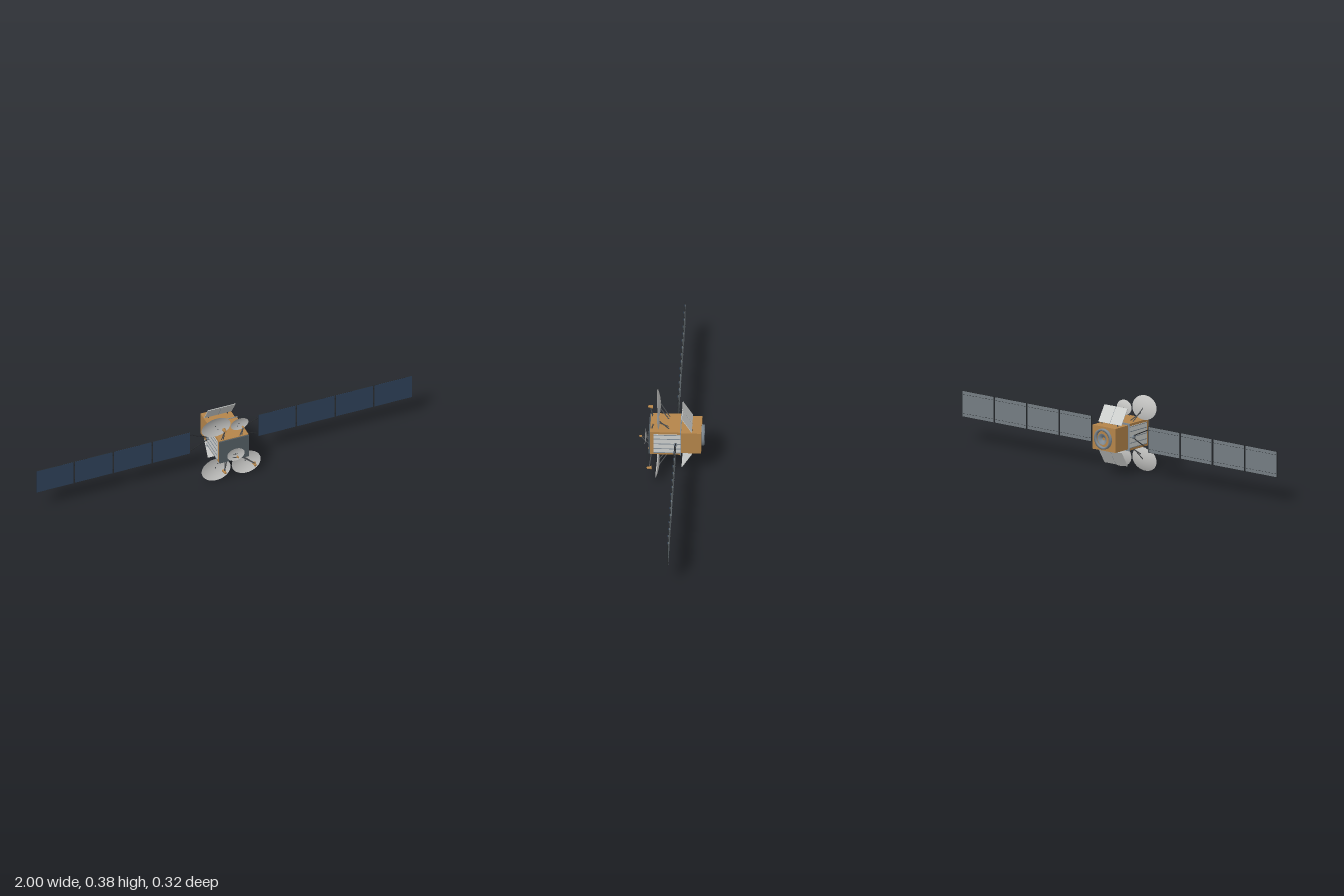
import * as THREE from 'three';

const mat = (name, color, side = THREE.FrontSide) => {
  const m = new THREE.MeshStandardMaterial({ color, side });
  m.name = name;
  return m;
};

export function createModel() {
  const foil = mat('gold foil', 0xb5854a);
  const white = mat('radiator white', 0xcfd1cf);
  const dishGrey = mat('dish grey', 0xc6c6c4, THREE.DoubleSide);
  const slate = mat('slate deck', 0x515b61);
  const navy = mat('solar cell navy', 0x2c3f57);
  const backGrey = mat('array back grey', 0x747d82);
  const dark = mat('dark frame', 0x25282b);
  const strut = mat('strut grey', 0x4c4f52);
  const steel = mat('blue grey metal', 0x808b94, THREE.DoubleSide);

  const model = new THREE.Group();
  model.name = 'satellite';
  const CY = 0.195; // height of the body axis

  const add = (name, geo, material, x = 0, y = 0, z = 0, parent = model) => {
    const mesh = new THREE.Mesh(geo, material);
    mesh.name = name;
    mesh.position.set(x, y, z);
    parent.add(mesh);
    return mesh;
  };
  const box = (name, material, w, h, d, x, y, z, parent) =>
    add(name, new THREE.BoxGeometry(w, h, d), material, x, y, z, parent);
  // Tapered rod between two points
  const rod = (name, a, b, r, material = strut, r2 = r) => {
    const p = new THREE.Vector3(...a), q = new THREE.Vector3(...b);
    const dir = q.clone().sub(p);
    const mesh = add(name, new THREE.CylinderGeometry(r2, r, dir.length(), 10), material);
    mesh.position.copy(p).add(q).multiplyScalar(0.5);
    mesh.quaternion.setFromUnitVectors(new THREE.Vector3(0, 1, 0), dir.normalize());
    return mesh;
  };

  // Body: payload box, service box, front deck and joint frame
  box('payloadBody', foil, 0.156, 0.135, 0.152, 0, CY, 0.028);
  box('serviceBody', foil, 0.146, 0.121, 0.1, 0, CY, -0.097);
  box('frontDeck', slate, 0.156, 0.13, 0.007, 0, CY, 0.107);
  box('jointFrame', steel, 0.162, 0.139, 0.005, 0, CY, -0.046);

  // Side radiators with heat pipes
  for (const s of [-1, 1]) {
    box('sideRadiator', white, 0.004, 0.11, 0.133, s * 0.08, CY, 0.0195);
    for (const dy of [-0.053, -0.029, 0, 0.029, 0.053])
      box('heatPipe', steel, 0.003, 0.0035, 0.133, s * 0.0825, CY + dy, 0.0195);
  }

  // Tilted radiator flaps above and below, each of two leaves
  for (const s of [-1, 1]) {
    const flap = new THREE.Group();
    flap.name = 'radiatorFlap';
    flap.position.set(0, CY + s * 0.1065, -0.076);
    flap.rotation.x = s * Math.atan2(0.048, 0.078);
    for (const side of [-1, 1])
      box('flapLeaf', white, 0.072, 0.092, 0.003, side * 0.037, 0, 0, flap);
    box('flapSpine', steel, 0.004, 0.09, 0.002, 0, 0, 0, flap);
    model.add(flap);
    for (const side of [-1, 1])
      rod('flapHinge', [side * 0.05, CY + s * 0.058, -0.1], [side * 0.05, CY + s * 0.069, -0.1], 0.003);
  }

  // Rear adapter ring and engine bell
  const ring = new THREE.LatheGeometry([
    [0.041, -0.002], [0.041, 0.013], [0.052, 0.013], [0.052, -0.002],
  ].map(p => new THREE.Vector2(...p)), 40);
  ring.computeVertexNormals();
  add('adapterRing', ring.toNonIndexed(), steel, 0, CY, -0.147).rotation.x = -Math.PI / 2;
  ring.rotateX(0);
  const bell = new THREE.LatheGeometry([
    [0.008, 0], [0.014, 0.006], [0.024, 0.012], [0.028, 0.013],
  ].map(p => new THREE.Vector2(...p)), 32);
  add('engineBell', bell, steel, 0, CY, -0.147).rotation.x = -Math.PI / 2;

  // Solar wings
  const panelW = 0.2, pitch = 0.2065, wingZ = -0.022, panelH = 0.132;
  for (const s of [-1, 1]) {
    rod('wingHub', [s * 0.078, CY, wingZ], [s * 0.092, CY, wingZ], 0.009, steel);
    for (const v of [-1, 1])
      rod('wingYoke', [s * 0.086, CY + v * 0.006, wingZ], [s * 0.182, CY + v * 0.05, wingZ], 0.0025, dark);
    for (let i = 0; i < 4; i++) {
      const panel = new THREE.Group();
      panel.name = 'solarPanel';
      panel.position.set(s * (0.9 - i * pitch), CY + 0.001, wingZ);
      model.add(panel);
      box('panelCore', dark, panelW, panelH, 0.004, 0, 0, 0, panel);
      box('solarCells', navy, panelW - 0.002, panelH - 0.002, 0.001, 0, 0, 0.0023, panel);
      box('panelBack', backGrey, panelW - 0.004, panelH - 0.004, 0.001, 0, 0, -0.0023, panel);
      for (const v of [-1, 1]) {
        for (let k = 0; k < 10; k++)
          box('backDash', dark, 0.01, 0.002, 0.001, -0.09 + k * 0.02, v * 0.048, -0.0027, panel);
        if (i < 3) box('panelHinge', dark, 0.008, 0.01, 0.003, -s * pitch / 2, v * 0.045, 0, panel);
      }
    }
  }

  // Shallow elliptical dish opening forward, rim centre at (x, y, z)
  const dish = (name, x, y, z, rx, ry, depth, tilt) => {
    const pts = [];
    for (let i = 0; i <= 10; i++) pts.push(new THREE.Vector2(i / 10, (i / 10) ** 2 - 1));
    const geo = new THREE.LatheGeometry(pts, 40);
    geo.rotateX(Math.PI / 2);
    geo.scale(rx, ry, depth);
    geo.computeVertexNormals();
    add(name, geo, dishGrey, x, y, z).rotation.x = tilt;
  };

  // Side reflectors, each with rear struts, feed horn and feed arms
  const reflector = (x, y, z, rx, ry, feed, foot, size) => {
    const s = Math.sign(y - CY), edge = CY + s * 0.066;
    const [fx, fy, fz] = feed;
    dish('reflectorDish', x, y, z, rx, ry, rx * 0.15, s * 0.12);
    const bx = THREE.MathUtils.clamp(x, -0.055, 0.055);
    const back = z - rx * 0.13;
    rod('reflectorStrut', [bx, edge, 0.012], [x, y, back], 0.0025);
    rod('reflectorStrut', [bx * 0.6, edge, 0.015], [x * 0.85, y - s * ry * 0.4, back], 0.0025);
    rod('feedHorn', [fx, fy + s * 0.002, fz + 0.012 * size], [fx, fy - s * 0.001, fz - 0.011 * size],
      0.0055 * size, foil, 0.009 * size);
    for (const d of [-0.005, 0.005])
      rod('feedArm', [foot + d, edge, 0.096], [fx, fy - s * 0.005 * size, fz], 0.0025);
  };
  reflector(-0.08, 0.325, 0.0695, 0.077, 0.061, [-0.05, 0.322, 0.106], -0.058, 1);
  reflector(-0.08, 0.065, 0.0695, 0.077, 0.061, [-0.05, 0.068, 0.106], -0.038, 1);
  reflector(0.08, 0.065, 0.0695, 0.077, 0.061, [0.11, 0.068, 0.106], 0.045, 1);
  reflector(0.046, 0.307, 0.066, 0.047, 0.038, [0.056, 0.3, 0.088], 0.04, 0.6);

  // Front deck antenna with its feed and legs
  dish('frontDish', 0, 0.178, 0.131, 0.046, 0.036, 0.006, -0.03);
  rod('frontMast', [0, 0.172, 0.108], [0, 0.178, 0.127], 0.004);
  rod('frontFeed', [0, 0.179, 0.16], [0, 0.177, 0.148], 0.0035, foil, 0.0055);
  for (const s of [-1, 1]) {
    rod('frontFeedLeg', [s * 0.025, 0.147, 0.108], [0, 0.176, 0.152], 0.002);
    rod('frontDishLeg', [s * 0.022, 0.17, 0.108], [s * 0.008, 0.178, 0.127], 0.002);
  }

  return model;
}
